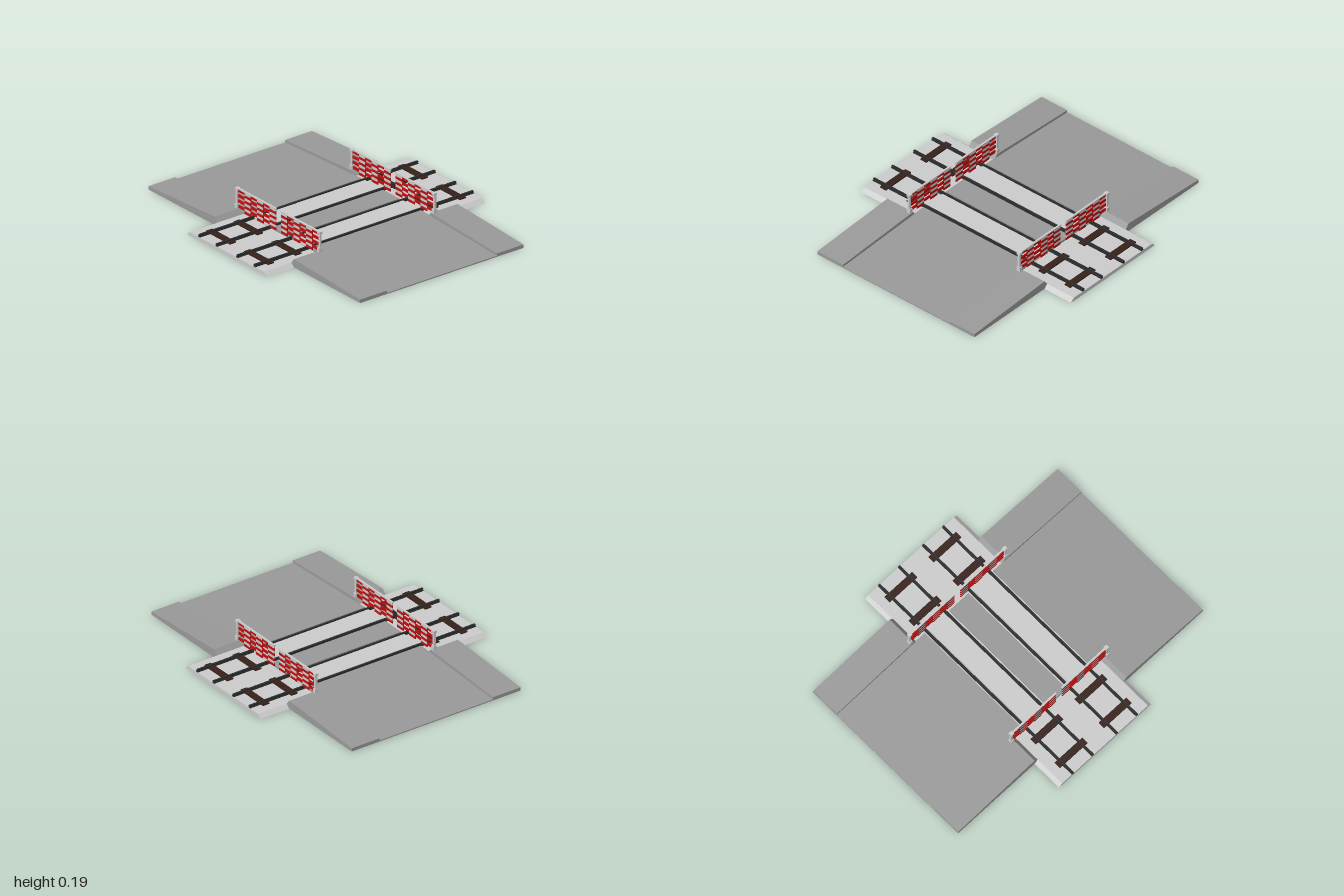
import * as THREE from 'three';

const paint = (color) => new THREE.MeshStandardMaterial({ color });
const concrete = paint(0xcccccc), asphalt = paint(0x999999), steel = paint(0x2a2c2b);
const wood = paint(0x38201a), red = paint(0xc01010);

function box(parent, name, mat, w, h, d, x, y, z) {
  const m = new THREE.Mesh(new THREE.BoxGeometry(w, h, d), mat);
  m.position.set(x, y, z);
  m.name = name;
  parent.add(m);
  return m;
}

// Extrudes an x/y section along z, centred on z
function prism(parent, name, mat, pts, length, z = 0) {
  const shape = new THREE.Shape(pts.map(([x, y]) => new THREE.Vector2(x, y)));
  const geo = new THREE.ExtrudeGeometry(shape, { depth: length, bevelEnabled: false });
  geo.translate(0, 0, z - length / 2);
  const m = new THREE.Mesh(geo, mat);
  m.name = name;
  parent.add(m);
}

// Checkered barrier leaf with its post, on the side given by s
function barrier(s) {
  const g = new THREE.Group();
  g.name = s > 0 ? 'leftBarrier' : 'rightBarrier';
  box(g, 'post', concrete, 0.014, 0.13, 0.014, s * 0.39, 0.12, 0);
  box(g, 'postBase', concrete, 0.022, 0.03, 0.026, s * 0.388, 0.067, 0);
  box(g, 'postCap', concrete, 0.024, 0.014, 0.024, s * 0.388, 0.179, 0);
  box(g, 'topRail', concrete, 0.37, 0.008, 0.012, s * 0.208, 0.182, 0);
  const cols = 6, rows = 8, w = 0.355 / cols, h = 0.0172;
  for (let r = 0; r < rows; r++) {
    for (let c = 0; c < cols; c++) {
      const isRed = (r + c) % 2 === 0;
      // every other row is left open between its red tiles
      if (!isRed && r % 2 === 0) continue;
      box(g, isRed ? 'redTile' : 'paleTile', isRed ? red : concrete, w, h, 0.007,
        s * (0.025 + (c + 0.5) * w), 0.042 + (r + 0.5) * h, 0);
    }
  }
  return g;
}

export function createModel() {
  const root = new THREE.Group();
  root.name = 'levelCrossing';

  // Ballast bed with sloped shoulders
  prism(root, 'ballastBed', concrete,
    [[-0.375, 0], [0.375, 0], [0.35, 0.024], [-0.35, 0.024]], 1.64);

  // Sloping road and raised pavements either side
  for (const s of [-1, 1]) {
    prism(root, 'road', asphalt,
      [[s, 0], [s, 0.007], [s * 0.28, 0.038], [s * 0.28, 0.02], [s * 0.36, 0.001]], 0.83);
    for (const e of [-1, 1]) {
      prism(root, 'pavement', asphalt,
        [[s, 0], [s, 0.022], [s * 0.375, 0.055], [s * 0.35, 0.024], [s * 0.36, 0.001]],
        0.2, e * 0.513);
    }
  }

  // Road filling between the two tracks
  box(root, 'middleRoad', asphalt, 0.156, 0.018, 0.83, 0, 0.029, 0);

  // Tracks: rails, sleepers and the deck panel between the rails
  for (const cx of [-0.18, 0.18]) {
    const track = new THREE.Group();
    track.name = 'track';
    track.position.x = cx;
    for (const s of [-1, 1]) {
      box(track, 'railFoot', steel, 0.018, 0.005, 1.64, s * 0.082, 0.0265, 0);
      box(track, 'railWeb', steel, 0.006, 0.008, 1.64, s * 0.082, 0.032, 0);
      box(track, 'railHead', steel, 0.013, 0.006, 1.64, s * 0.082, 0.038, 0);
    }
    for (const z of [-0.72, -0.515, 0.515, 0.72]) {
      box(track, 'sleeper', wood, 0.225, 0.012, 0.045, 0, 0.026, z);
    }
    box(track, 'deckPanel', concrete, 0.138, 0.018, 0.83, 0, 0.03, 0);
    root.add(track);
  }

  // Barriers at both ends of the crossing
  for (const z of [-0.43, 0.43]) {
    for (const s of [-1, 1]) {
      const b = barrier(s);
      b.position.z = z;
      root.add(b);
    }
  }
  return root;
}
